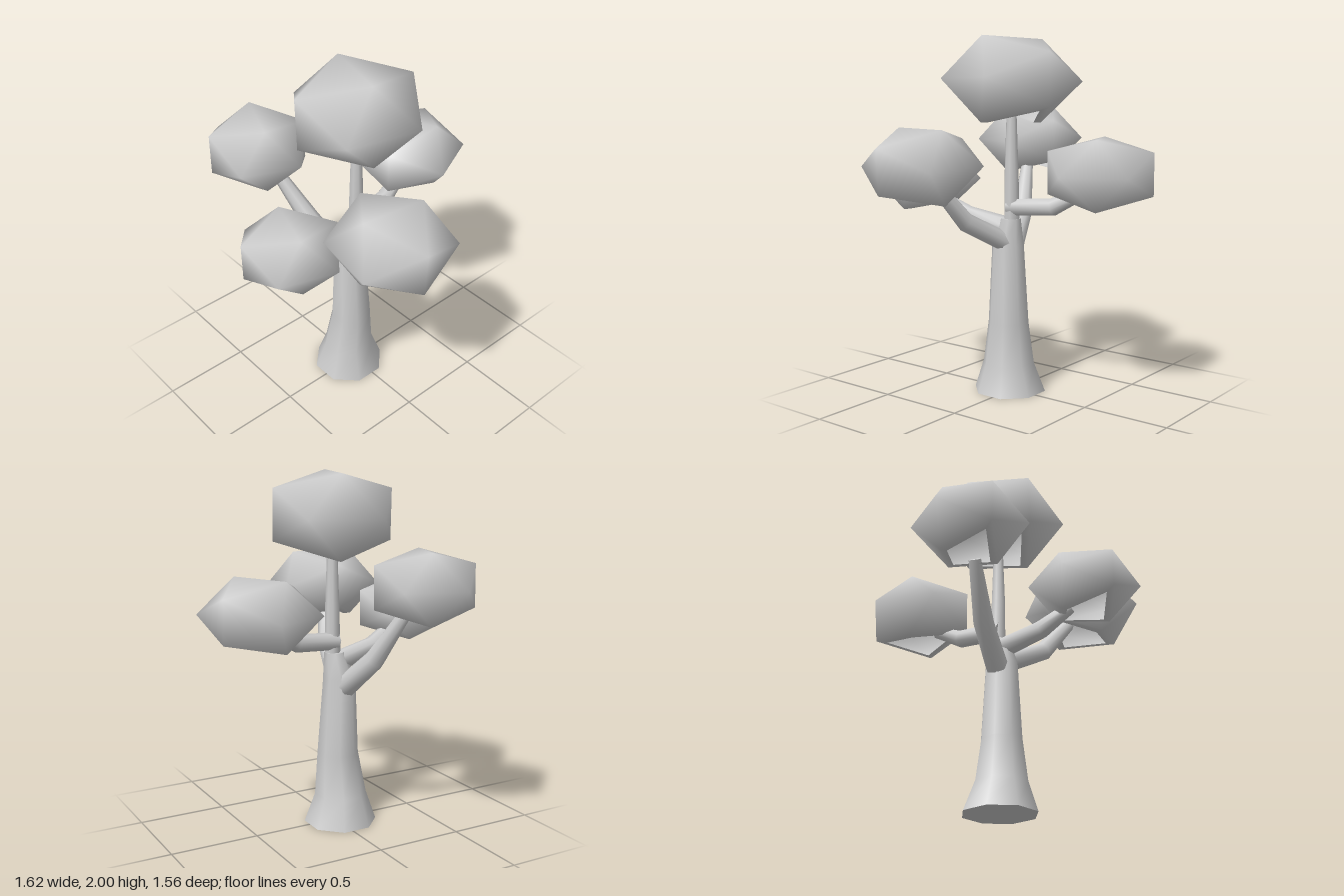
import * as THREE from 'three';
import { mergeVertices } from 'three/addons/utils/BufferGeometryUtils.js';

const SIDES = 8;
const UP = new THREE.Vector3(0, 1, 0);

// Tapered limb through rings [x, y, z, radius], with flat end caps
function limb(rings, upright = false) {
  const centres = rings.map(r => new THREE.Vector3(r[0], r[1], r[2]));
  const pos = [], index = [];
  rings.forEach((r, k) => {
    const dir = upright ? UP : centres[Math.min(k + 1, rings.length - 1)].clone()
      .sub(centres[Math.max(k - 1, 0)]).normalize();
    const turn = new THREE.Quaternion().setFromUnitVectors(UP, dir);
    for (let i = 0; i < SIDES; i++) {
      const a = (i + 0.5) / SIDES * Math.PI * 2;
      const p = new THREE.Vector3(Math.cos(a) * r[3], 0, Math.sin(a) * r[3]);
      pos.push(...p.applyQuaternion(turn).add(centres[k]).toArray());
    }
  });
  for (let k = 0; k < rings.length - 1; k++) {
    for (let i = 0; i < SIDES; i++) {
      const a = k * SIDES + i, b = k * SIDES + (i + 1) % SIDES;
      index.push(a, a + SIDES, b, b, a + SIDES, b + SIDES);
    }
  }
  // Caps use their own vertices so the rims stay sharp
  for (const k of [0, rings.length - 1]) {
    const start = pos.length / 3;
    pos.push(...pos.slice(k * SIDES * 3, (k + 1) * SIDES * 3));
    for (let i = 1; i < SIDES - 1; i++) {
      if (k === 0) index.push(start, start + i, start + i + 1);
      else index.push(start, start + i + 1, start + i);
    }
  }
  return finish(pos, index);
}

function finish(pos, index) {
  const geo = new THREE.BufferGeometry();
  geo.setAttribute('position', new THREE.Float32BufferAttribute(pos, 3));
  geo.setIndex(index);
  geo.computeVertexNormals();
  return geo;
}

// Smooth twenty-sided clump with an opening underneath
function clumpGeometry() {
  let ico = new THREE.IcosahedronGeometry(1, 0);
  ico.deleteAttribute('normal');
  ico.deleteAttribute('uv');
  ico = mergeVertices(ico);
  const p = ico.getAttribute('position');
  const pos = Array.from(p.array), index = [];
  for (let i = 0; i < ico.index.count; i += 3) {
    const tri = [0, 1, 2].map(j => ico.index.getX(i + j));
    if (!tri.every(v => p.getY(v) < -0.4)) index.push(...tri);
  }
  // Narrow rim around the opening
  const low = [...Array(p.count).keys()].filter(v => p.getY(v) < -0.4)
    .sort((a, b) => Math.atan2(p.getX(a), p.getZ(a)) - Math.atan2(p.getX(b), p.getZ(b)));
  const midY = Math.min(...low.map(v => p.getY(v)));
  const inner = low.map(v => {
    pos.push(p.getX(v) * 0.75, midY + (p.getY(v) - midY) * 0.75, p.getZ(v) * 0.75);
    return pos.length / 3 - 1;
  });
  low.forEach((a, i) => {
    const n = (i + 1) % low.length;
    // loop runs from +z towards +x
    index.push(a, inner[i], low[n], inner[i], inner[n], low[n]);
  });
  return finish(pos, index);
}

export function createModel() {
  const group = new THREE.Group();
  const grey = new THREE.MeshStandardMaterial({ color: 0xcccccc, side: THREE.DoubleSide });
  grey.name = 'plain grey';
  const add = (name, geo) => {
    const mesh = new THREE.Mesh(geo, grey);
    mesh.name = name;
    group.add(mesh);
    return mesh;
  };

  // Trunk with flared foot and thin leader
  add('trunk', limb([
    [-0.015, 0.005, 0.025, 0.207], [-0.01, 0.17, 0.03, 0.148], [0.005, 0.41, 0.02, 0.117],
    [0, 0.85, 0.027, 0.092], [0.01, 1.0, 0, 0.058],
  ], true));
  add('leader', limb([[0.01, 0.95, -0.01, 0.045], [0.015, 1.25, -0.01, 0.04], [0.015, 1.6, -0.01, 0.028]], true));

  // Branches
  add('rightBranch', limb([[-0.05, 0.81, 0.04, 0.065], [-0.24, 0.99, 0.11, 0.058], [-0.41, 1.27, 0.2, 0.035]]));
  add('leftBranch', limb([[0.04, 0.87, 0.02, 0.055], [0.28, 1.0, 0.1, 0.052], [0.43, 1.2, 0.17, 0.038]]));
  add('frontBranch', limb([[0, 0.94, 0.0, 0.06], [0.05, 1.0, 0.27, 0.052], [0.1, 1.1, 0.44, 0.035]]));
  add('backBranch', limb([[0.01, 1.06, 0.01, 0.05], [-0.03, 1.08, -0.26, 0.05], [-0.06, 1.16, -0.42, 0.035]]));

  // Leaf clumps: name, centre, radius, height radius, yaw in degrees, lean
  const clump = clumpGeometry();
  [
    ['topLeaves', [0.01, 1.765, -0.01], 0.39, 0.272, -16, 0.03],
    ['rightLeaves', [-0.505, 1.415, 0.25], 0.315, 0.222, -22, -0.02],
    ['leftLeaves', [0.515, 1.315, 0.2], 0.34, 0.232, -98, -0.05],
    ['frontLeaves', [0.115, 1.2, 0.525], 0.305, 0.198, -18, 0],
    ['backLeaves', [-0.11, 1.27, -0.51], 0.335, 0.222, 25, 0],
  ].forEach(([name, centre, r, h, yaw, lean]) => {
    const mesh = add(name, clump);
    mesh.position.set(...centre);
    mesh.scale.set(r, h, r);
    mesh.rotation.set(0, yaw * Math.PI / 180, lean, 'ZYX');
  });
  return group;
}
